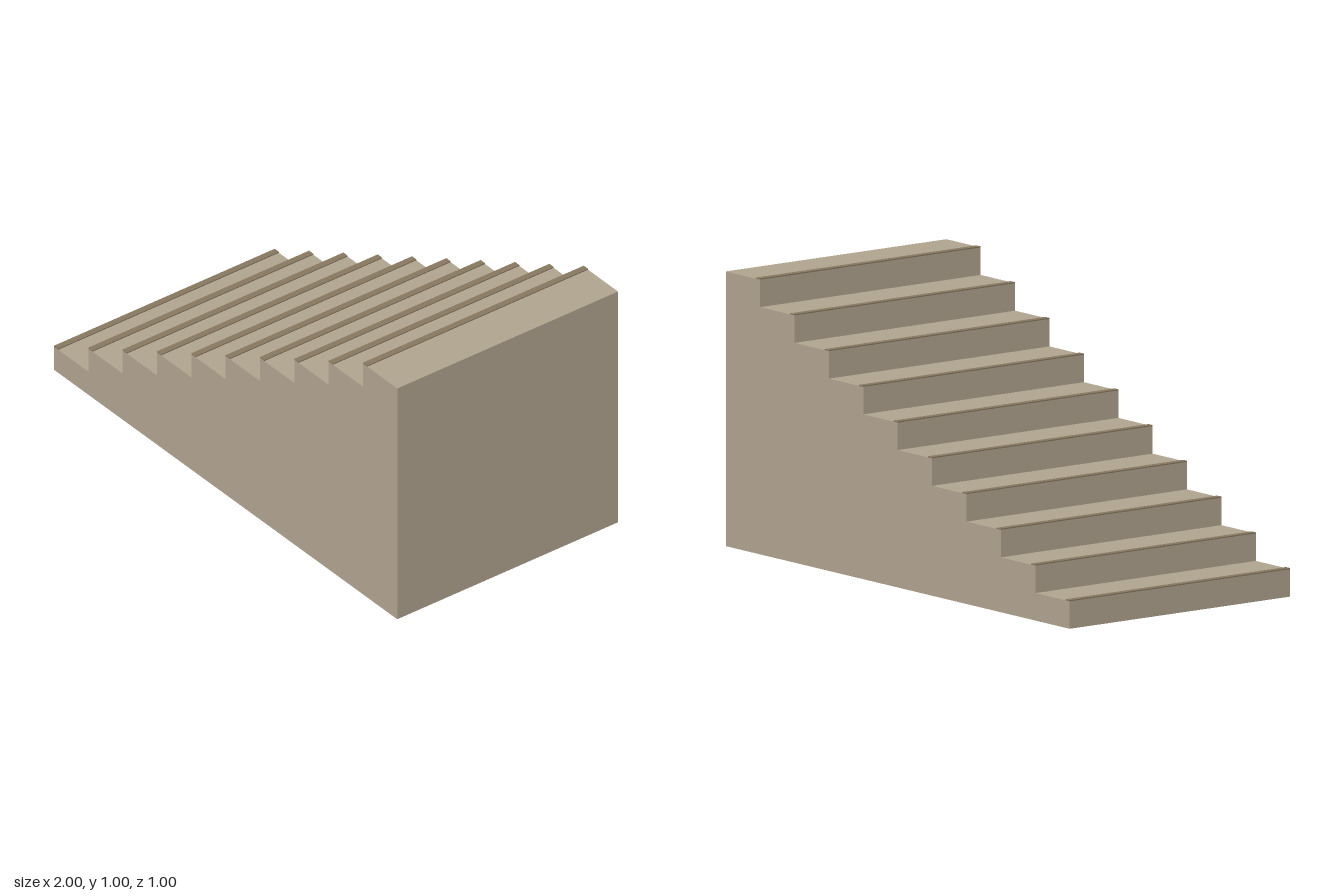
import * as THREE from 'three';

export function createModel() {
  const steps = 10, tread = 0.2, riser = 0.1, depth = 1;
  const nosingWidth = 0.025, nosingHeight = 0.004;

  const stone = new THREE.MeshStandardMaterial({ color: 0xb0a48f });
  stone.name = 'stone';
  const darkStone = new THREE.MeshStandardMaterial({ color: 0x87775f });
  darkStone.name = 'dark stone';

  const model = new THREE.Group();
  model.name = 'staircase';

  // Solid stair block: stepped side profile, climbing towards +x
  const profile = new THREE.Shape();
  profile.moveTo(-1, 0);
  profile.lineTo(1, 0);
  profile.lineTo(1, steps * riser);
  for (let i = steps - 1; i >= 0; i--) {
    const x = -1 + i * tread;
    profile.lineTo(x, (i + 1) * riser);
    if (i > 0) profile.lineTo(x, i * riser);
  }
  profile.closePath();
  const blockGeometry = new THREE.ExtrudeGeometry(profile, { depth, bevelEnabled: false });
  blockGeometry.translate(0, 0, -depth / 2);
  const block = new THREE.Mesh(blockGeometry, stone);
  block.name = 'stairBlock';
  model.add(block);

  // Thin dark nosing strip along the leading edge of every step
  const nosingGeometry = new THREE.BoxGeometry(nosingWidth, nosingHeight, depth);
  for (let i = 0; i < steps; i++) {
    const nosing = new THREE.Mesh(nosingGeometry, darkStone);
    nosing.name = `nosing${i + 1}`;
    nosing.position.set(-1 + i * tread + nosingWidth / 2, (i + 1) * riser + nosingHeight / 2, 0);
    model.add(nosing);
  }

  return model;
}
